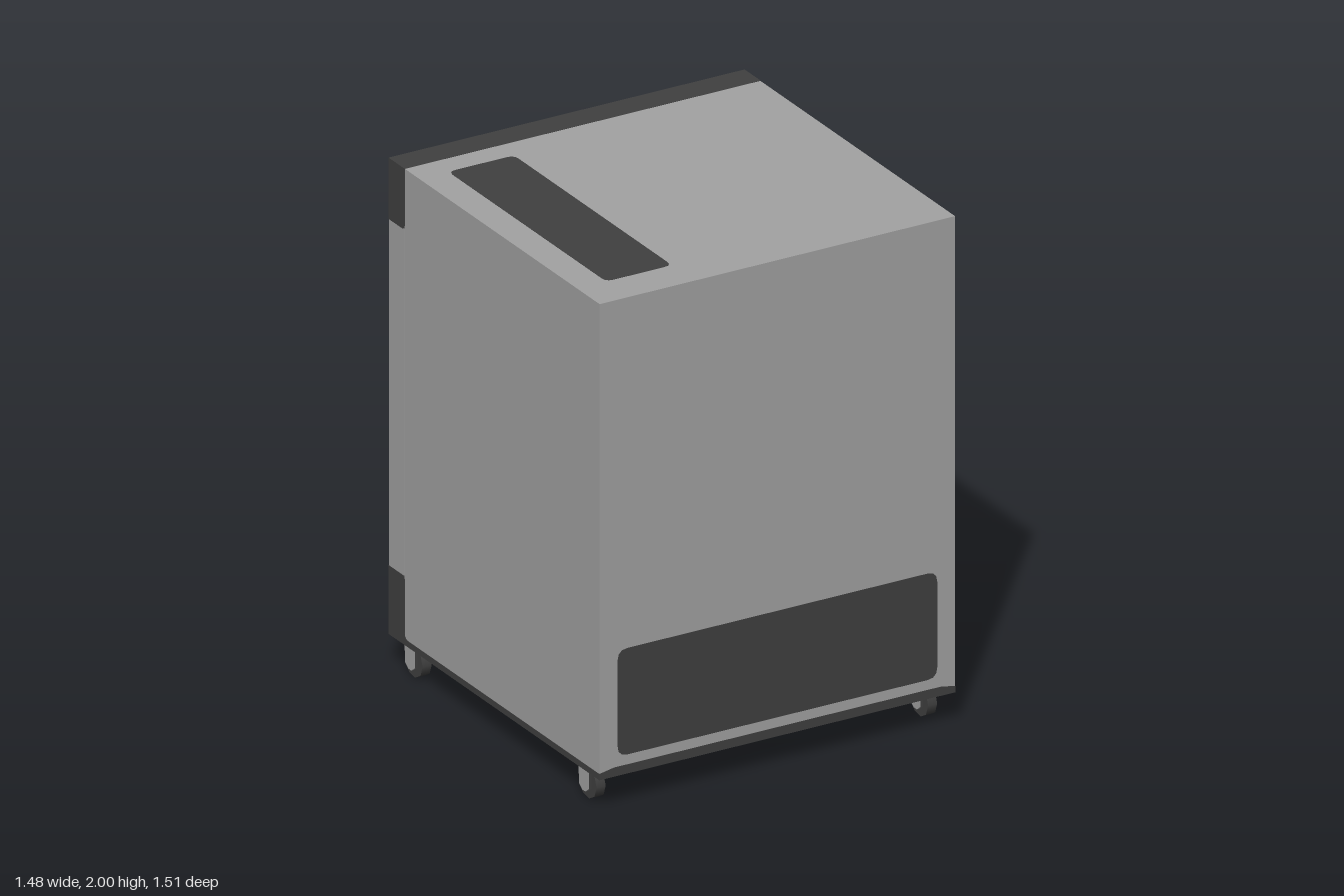
import * as THREE from 'three';

const grey = new THREE.MeshStandardMaterial({ color: 0xa2a2a2 });
grey.name = 'steel grey';
const dark = new THREE.MeshStandardMaterial({ color: 0x404040 });
dark.name = 'charcoal';

const W = 0.74, BACK = -0.714, FRONT = 0.756;

function mesh(name, geometry, material, parent) {
  const m = new THREE.Mesh(geometry, material);
  m.name = name;
  parent.add(m);
  return m;
}

function box(name, x0, x1, y0, y1, z0, z1, material, parent) {
  const m = mesh(name, new THREE.BoxGeometry(x1 - x0, y1 - y0, z1 - z0), material, parent);
  m.position.set((x0 + x1) / 2, (y0 + y1) / 2, (z0 + z1) / 2);
  return m;
}

// Rectangle with rounded corners, centred on the origin
function roundedRect(w, h, r) {
  const s = new THREE.Shape(), x = w / 2, y = h / 2;
  s.moveTo(-x + r, -y);
  s.lineTo(x - r, -y).quadraticCurveTo(x, -y, x, -y + r);
  s.lineTo(x, y - r).quadraticCurveTo(x, y, x - r, y);
  s.lineTo(-x + r, y).quadraticCurveTo(-x, y, -x, y - r);
  s.lineTo(-x, -y + r).quadraticCurveTo(-x, -y, -x + r, -y);
  return s;
}

function rectPath(Type, x0, x1, y0, y1) {
  return new Type([[x0, y0], [x1, y0], [x1, y1], [x0, y1]].map(p => new THREE.Vector2(...p)));
}

const extrude = (shape, depth) =>
  new THREE.ExtrudeGeometry(shape, { depth, bevelEnabled: false, curveSegments: 3 });

// Side profile drawn in (z, y), extruded across slightly more than the cabinet width
function acrossWidth(shape) {
  const half = W + 0.001;
  return extrude(shape, 2 * half).rotateY(-Math.PI / 2).translate(half, 0, 0);
}

function makeCaster() {
  const g = new THREE.Group();
  const wheel = mesh('wheel', new THREE.CylinderGeometry(0.063, 0.063, 0.038, 9), dark, g);
  wheel.geometry.rotateZ(Math.PI / 2);
  wheel.position.y = 0.064;
  box('forkTop', -0.028, 0.028, 0.118, 0.135, -0.045, 0.025, grey, g);
  box('forkFront', -0.027, 0.027, 0.045, 0.118, 0.021, 0.026, dark, g);
  // Rounded fork plates on both sides of the wheel
  const plate = new THREE.Shape();
  plate.moveTo(-0.048, 0.132);
  plate.lineTo(-0.045, 0.045).quadraticCurveTo(-0.012, 0.005, 0.022, 0.045);
  plate.lineTo(0.025, 0.132);
  for (const x of [-0.02, 0.028]) {
    mesh('forkPlate', extrude(plate, 0.008).rotateY(-Math.PI / 2).translate(x, 0, 0), grey, g);
  }
  return g;
}

export function createModel() {
  const model = new THREE.Group();
  model.name = 'cabinetFridge';

  // Cabinet
  box('cabinet', -W, W, 0.145, 2, -0.605, FRONT, grey, model);

  // Base tray that rises into the rear kick panel
  const base = new THREE.Shape();
  base.moveTo(BACK, 0.13);
  base.lineTo(FRONT + 0.0005, 0.13).lineTo(FRONT + 0.0005, 0.154).lineTo(-0.58, 0.154);
  base.quadraticCurveTo(-0.602, 0.154, -0.602, 0.18);
  base.lineTo(-0.602, 0.385).quadraticCurveTo(-0.602, 0.4, -0.617, 0.4);
  base.lineTo(BACK, 0.4);
  mesh('baseTray', acrossWidth(base), dark, model);

  // Front lip of the tray, tapering at both ends
  const lip = new THREE.Shape();
  lip.moveTo(-W, 0.14);
  lip.lineTo(W, 0.14).lineTo(W, 0.155).lineTo(0.68, 0.166).lineTo(-0.68, 0.166).lineTo(-W, 0.155);
  mesh('frontLip', extrude(lip, 0.005), dark, model).position.z = FRONT - 0.004;

  // Header with its pale sign panel
  const header = new THREE.Shape();
  header.moveTo(BACK, 1.76);
  header.lineTo(-0.62, 1.76).quadraticCurveTo(-0.602, 1.76, -0.602, 1.778);
  header.lineTo(-0.602, 2.0008).lineTo(BACK, 2.0008);
  mesh('header', acrossWidth(header), dark, model);
  const panel = mesh('headerPanel', extrude(roundedRect(1.44, 0.19, 0.035), 0.004), grey, model);
  panel.position.set(0, 1.874, BACK - 0.001);

  // Door frame with two recessed openings
  const y0 = 0.44, y1 = 1.685, openings = [[-0.692, -0.044], [0.044, 0.692]];
  const frame = rectPath(THREE.Shape, -W, W, 0.4, 1.76);
  for (const [a, b] of openings) frame.holes.push(rectPath(THREE.Path, a, b, y0, y1));
  mesh('doorFrame', extrude(frame, 0.105), grey, model).position.z = BACK;
  for (const [a, b] of openings) {
    const liner = rectPath(THREE.Shape, a, b, y0, y1);
    liner.holes.push(rectPath(THREE.Path, a + 0.008, b - 0.008, y0 + 0.008, y1 - 0.008));
    mesh('doorGasket', extrude(liner, 0.1), dark, model).position.z = BACK - 0.0005;
    box('doorPane', a, b, y0, y1, BACK + 0.07, BACK + 0.1, grey, model);
  }

  // Handle plate on a narrow stem
  const handle = mesh('handle', extrude(roundedRect(0.15, 0.45, 0.025), 0.012), dark, model);
  handle.position.set(0, 1.002, -0.756);
  box('handleStem', -0.013, 0.013, 0.78, 1.223, -0.746, BACK, dark, model);

  // Small lock on the kick panel
  const lock = box('lock', -0.563, -0.51, 0.358, 0.38, -0.726, BACK, dark, model);
  lock.rotation.y = -0.15;

  // Front and top vents
  const frontVent = mesh('frontVent', extrude(roundedRect(1.33, 0.418, 0.04), 0.004), dark, model);
  frontVent.position.set(0, 0.414, FRONT - 0.003);
  const topVent = mesh('topVent', extrude(roundedRect(0.273, 1.1, 0.03), 0.004), dark, model);
  topVent.rotation.x = -Math.PI / 2;
  topVent.position.set(-0.483, 1.997, 0.05);

  // Casters
  for (const x of [-0.69, 0.69]) {
    for (const z of [0.62, -0.593]) {
      const caster = makeCaster();
      caster.name = z > 0 ? 'frontCaster' : 'rearCaster';
      caster.position.set(x, 0, z);
      model.add(caster);
    }
  }
  return model;
}
